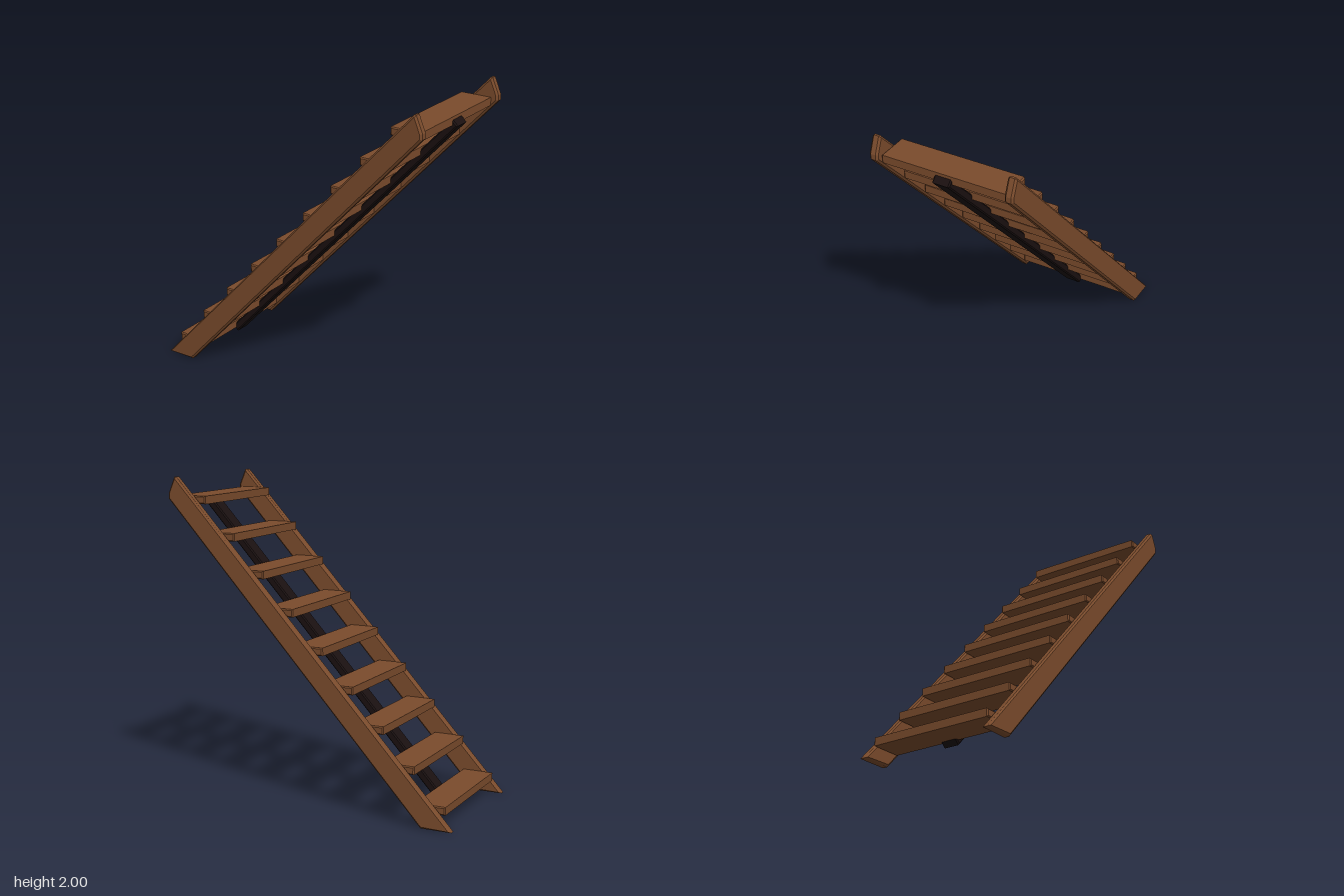
import * as THREE from 'three';

const wood = new THREE.MeshStandardMaterial({ color: 0x7a4b2c, flatShading: true });
const darkMetal = new THREE.MeshStandardMaterial({ color: 0x1a1010, flatShading: true });

// Bevelled plank: a side profile of [z, y] points, extruded across x and centred
function plank(name, profile, width, bevel, material) {
  const shape = new THREE.Shape(profile.map(([z, y]) => new THREE.Vector2(z, y)));
  const geometry = new THREE.ExtrudeGeometry(shape, {
    depth: width - 2 * bevel,
    bevelEnabled: true,
    bevelThickness: bevel,
    bevelSize: bevel,
    bevelOffset: -bevel,
    bevelSegments: 1,
  });
  geometry.translate(0, 0, -width / 2 + bevel);
  geometry.rotateY(-Math.PI / 2);
  const mesh = new THREE.Mesh(geometry, material);
  mesh.name = name;
  return mesh;
}

export function createModel() {
  const stairs = new THREE.Group();
  stairs.name = 'staircase';

  // Side stringers, cut level at the floor and square at the top
  const stringerProfile = [
    [-0.95, 0], [-0.755, 0], [0.95, 1.865], [0.95, 1.9], [0.907, 2], [0.893, 2],
  ];
  for (const side of [-1, 1]) {
    const name = side > 0 ? 'leftStringer' : 'rightStringer';
    const stringer = plank(name, stringerProfile, 0.055, 0.012, wood);
    stringer.position.x = side * 0.4275;
    stairs.add(stringer);
  }

  // Open treads, climbing towards the front
  const count = 9, run = 0.201, rise = 0.219, depth = 0.195, thickness = 0.05;
  for (let i = 0; i < count; i++) {
    const z = -0.892 + i * run;
    const y = 0.083 + i * rise;
    stairs.add(plank(`tread${i + 1}`, [
      [z, y], [z + depth, y], [z + depth, y + thickness], [z, y + thickness],
    ], 0.8, 0.007, wood));
  }

  // Dark central beam running underneath the treads
  const low = new THREE.Vector2(-0.69, 0.055);
  const high = new THREE.Vector2(0.945, 1.835);
  const along = high.clone().sub(low).normalize();
  const up = new THREE.Vector2(-along.y, along.x).multiplyScalar(0.05);
  const corners = [low, high, high.clone().add(up), low.clone().add(up)];
  stairs.add(plank('centralBeam', corners.map((p) => [p.x, p.y]), 0.11, 0.008, darkMetal));

  return stairs;
}
